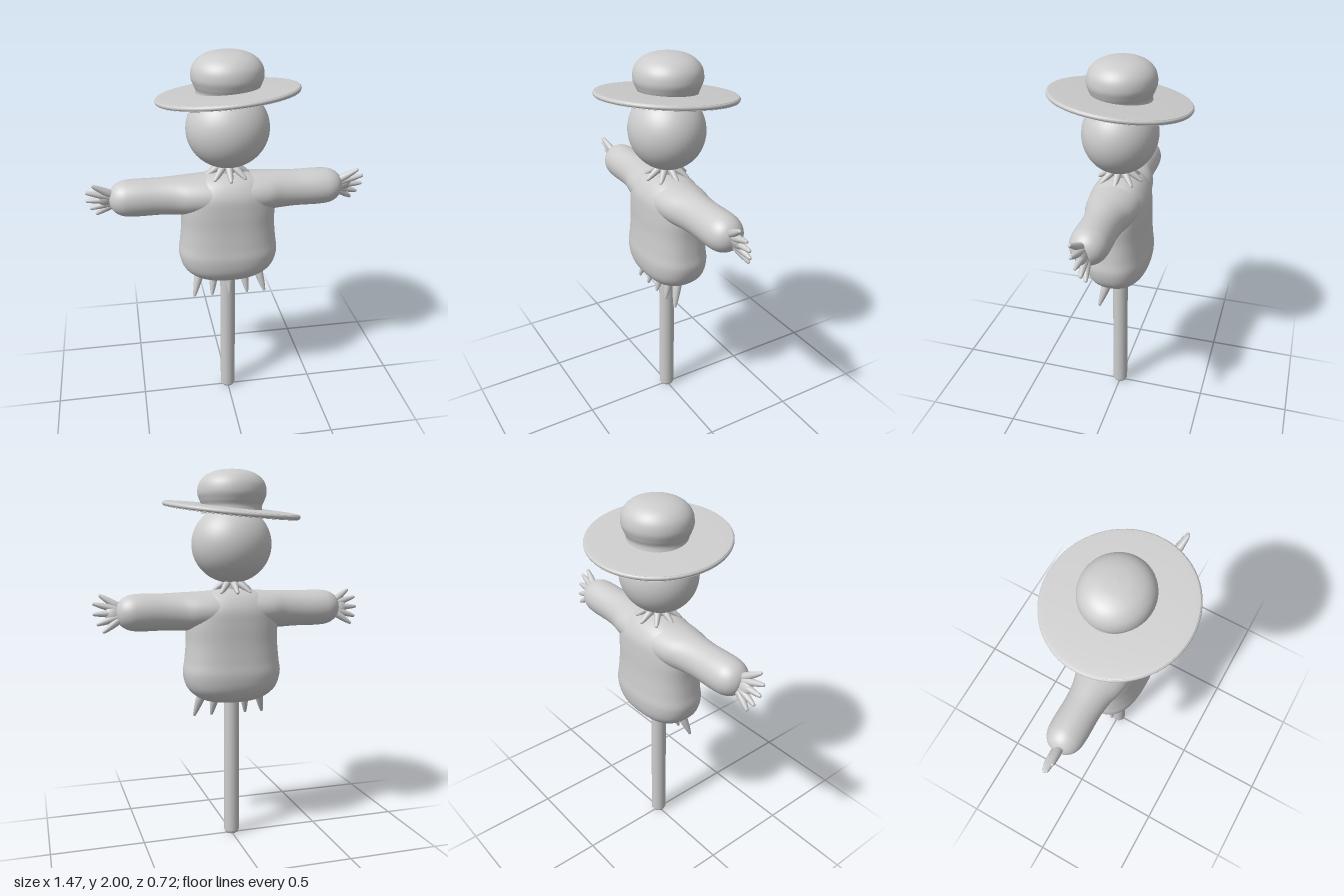
import * as THREE from 'three';

const straw = new THREE.MeshStandardMaterial({ color: 0xcccccc });
straw.name = 'light grey';

const V = (x, y, z) => new THREE.Vector3(x, y, z);

function mesh(geometry, name) {
  const m = new THREE.Mesh(geometry, straw);
  m.name = name;
  return m;
}

// Smooth closed skin through rounded rings [height, radiusX, radiusZ]; power > 2 squares the section
function loft(rings, power = 2, steps = 60, sides = 48) {
  const curve = new THREE.CatmullRomCurve3(rings.map(([y, rx, rz]) => V(rx, y, rz)));
  const pos = [], idx = [];
  const bend = (t) => Math.sign(t) * Math.abs(t) ** (2 / power);
  curve.getPoints(steps).forEach((p, i) => {
    for (let j = 0; j < sides; j++) {
      const a = (j / sides) * Math.PI * 2;
      pos.push(p.x * bend(Math.cos(a)), p.y, p.z * bend(Math.sin(a)));
      if (i === steps) continue;
      const k = (j + 1) % sides, b = i * sides;
      idx.push(b + j, b + sides + j, b + k, b + k, b + sides + j, b + sides + k);
    }
  });
  const g = new THREE.BufferGeometry();
  g.setAttribute('position', new THREE.Float32BufferAttribute(pos, 3));
  g.setIndex(idx);
  g.computeVertexNormals();
  return g;
}

// Smooth lathe from [radius, height] points, listed bottom to top
function turned(points, divisions = 40, sides = 48) {
  const curve = new THREE.SplineCurve(points.map(([r, y]) => new THREE.Vector2(r, y)));
  const pts = curve.getPoints(divisions);
  pts.forEach((p) => { p.x = Math.max(p.x, 0); });
  return new THREE.LatheGeometry(pts, sides);
}

// Tapered blade with a rounded tip between two points
function spike(from, to, r0, r1, name) {
  const dir = to.clone().sub(from), len = dir.length();
  const g = turned([[0, 0], [r0 * 0.9, len * 0.04], [r0, len * 0.3], [(r0 + r1) / 2, len * 0.7],
    [r1, len - r1], [r1 * 0.7, len - r1 * 0.3], [0, len]], 20, 14);
  const m = mesh(g, name);
  m.position.copy(from);
  m.quaternion.setFromUnitVectors(V(0, 1, 0), dir.normalize());
  return m;
}

export function createModel() {
  const model = new THREE.Group();
  model.name = 'scarecrow';

  // Pole
  model.add(mesh(turned([[0, 0], [0.03, 0.003], [0.04, 0.02], [0.042, 0.06], [0.042, 0.4],
    [0.042, 0.9], [0.04, 1.45], [0, 1.46]], 60, 24), 'pole'));

  // Stuffed shirt
  model.add(mesh(loft([
    [0.765, 0.001, 0.001], [0.772, 0.1, 0.065], [0.795, 0.18, 0.115], [0.85, 0.243, 0.158],
    [0.93, 0.267, 0.172], [1.0, 0.259, 0.166], [1.1, 0.25, 0.159], [1.2, 0.25, 0.157],
    [1.28, 0.235, 0.15], [1.34, 0.19, 0.118], [1.375, 0.11, 0.07], [1.39, 0.001, 0.001],
  ], 2.4), 'torso'));

  // Both sleeves in one roll that swells into the shoulders
  const half = [[0.62, 0.001, 0.001], [0.612, 0.04, 0.04], [0.588, 0.072, 0.072], [0.55, 0.091, 0.091],
    [0.5, 0.097, 0.097], [0.36, 0.097, 0.097], [0.28, 0.1, 0.106], [0.2, 0.102, 0.128], [0.1, 0.106, 0.14]];
  const sleeveGeo = loft([...half.map(([x, a, b]) => [-x, a, b]), ...half.slice().reverse()], 2, 110);
  sleeveGeo.rotateZ(-Math.PI / 2);
  const sleeves = mesh(sleeveGeo, 'sleeves');
  sleeves.position.y = 1.268;
  model.add(sleeves);

  // Straw hands: flat, tilted fans of five fingers
  const tips = [[0.7, 0.1], [0.735, 0.055], [0.737, -0.002], [0.72, -0.058], [0.692, -0.1]];
  for (const side of [1, -1]) {
    const hand = new THREE.Group();
    hand.name = side > 0 ? 'leftHand' : 'rightHand';
    for (const [x, y] of tips) {
      hand.add(spike(V(side * 0.59, y * 0.25, 0), V(side * x, y, 0), 0.02, 0.009, 'finger'));
    }
    const palm = mesh(new THREE.SphereGeometry(1, 24, 16), 'palm');
    palm.scale.set(0.045, 0.042, 0.022);
    palm.position.x = side * 0.63;
    hand.add(palm);
    hand.position.y = 1.268;
    hand.rotation.x = 0.35;
    model.add(hand);
  }

  // Straw collar
  for (let i = 0; i < 8; i++) {
    const a = (i / 8) * Math.PI * 2, s = Math.sin(a), c = Math.cos(a);
    model.add(spike(V(s * 0.03, 1.425, c * 0.03), V(s * 0.118, 1.362, c * 0.118), 0.018, 0.009, 'collarStraw'));
  }

  // Row of straw under the shirt hem
  for (let i = -2; i <= 2; i++) {
    model.add(spike(V(i * 0.078, 0.83, 0.022), V(i * 0.099, 0.678, 0.065), 0.024, 0.008, 'hemStraw'));
  }

  // Head
  const head = mesh(new THREE.SphereGeometry(1, 48, 32), 'head');
  head.scale.set(0.214, 0.203, 0.194);
  head.position.y = 1.615;
  model.add(head);

  // Hat: tilted brim and puffed crown
  const brim = mesh(turned([[0, -0.018], [0.18, -0.017], [0.34, -0.014], [0.358, -0.009], [0.363, 0],
    [0.358, 0.009], [0.34, 0.013], [0.22, 0.016], [0, 0.018]], 80, 64), 'hatBrim');
  brim.position.y = 1.793;
  brim.rotation.set(-0.1, 0, 0.08);
  model.add(brim);

  const crown = mesh(turned([[0.165, 1.77], [0.158, 1.81], [0.17, 1.84], [0.182, 1.88], [0.172, 1.93],
    [0.135, 1.97], [0.075, 1.993], [0, 2.0]]), 'hatCrown');
  crown.scale.z = 0.95;
  crown.position.z = -0.008;
  model.add(crown);

  return model;
}
